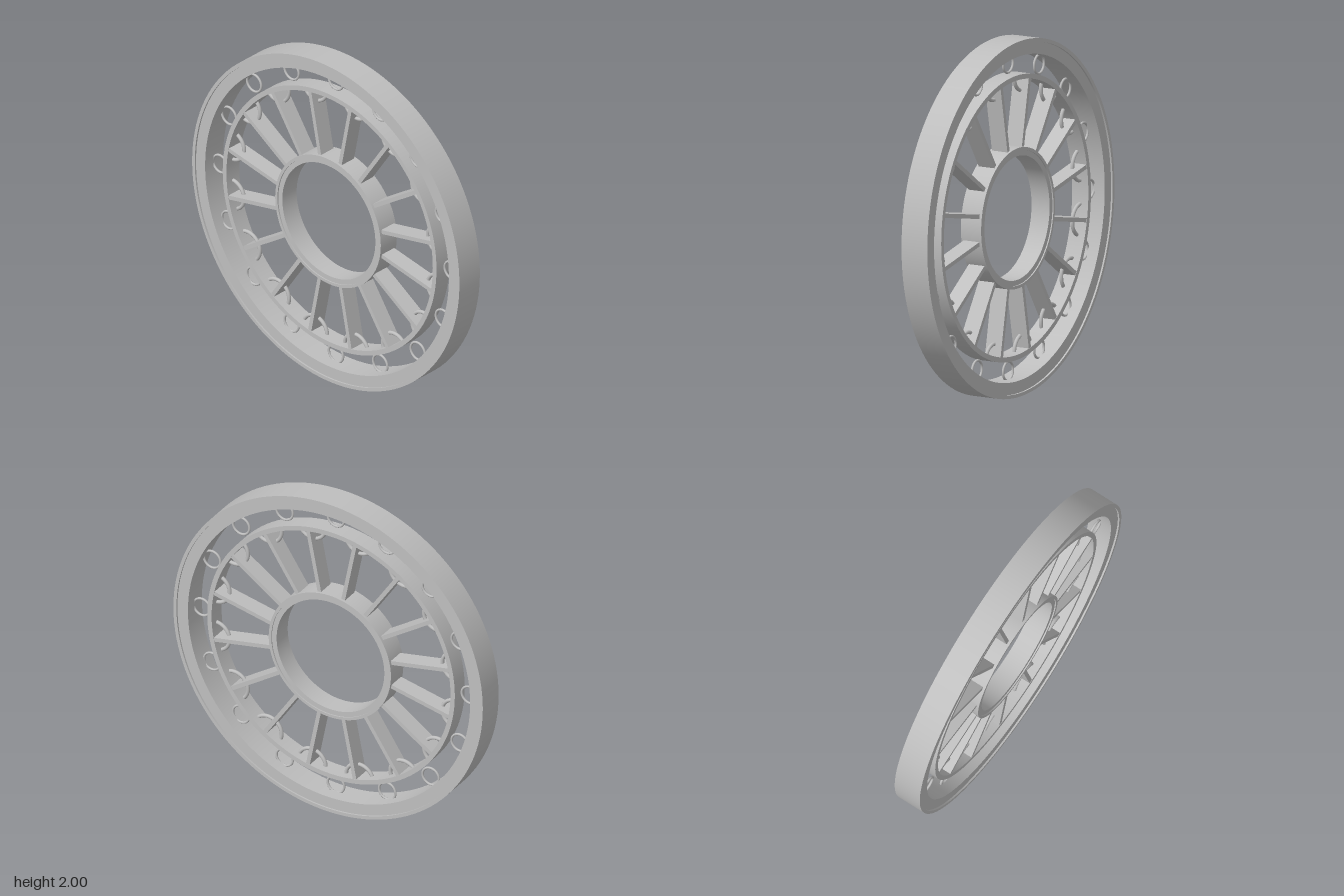
import * as THREE from 'three';

const steel = new THREE.MeshStandardMaterial({ color: 0xbebebe });
steel.name = 'steelGrey';

// Turned ring about the z axis from closed [radius, z] corners, with sharp edges
function turnedRing(name, corners) {
  const ring = new THREE.Group();
  ring.name = name;
  corners.forEach((a, i) => {
    const b = corners[(i + 1) % corners.length];
    const geo = new THREE.LatheGeometry([new THREE.Vector2(...a), new THREE.Vector2(...b)], 128);
    geo.rotateX(Math.PI / 2);
    const face = new THREE.Mesh(geo, steel);
    face.name = name + 'Face';
    ring.add(face);
  });
  return ring;
}

// Ring section whose outer edge carries a raised lip on both faces
function lippedSection(inner, lip, outer, recess, half) {
  return [[inner, -recess], [lip, -recess], [lip, -half], [outer, -half],
    [outer, half], [lip, half], [lip, recess], [inner, recess]];
}

export function createModel() {
  const model = new THREE.Group();
  model.name = 'spokedWheel';
  const wheel = new THREE.Group();
  wheel.name = 'wheel';
  wheel.position.y = 1;
  model.add(wheel);

  // Concentric rings
  wheel.add(turnedRing('outerRim', lippedSection(0.912, 0.98, 1, 0.073, 0.083)));
  wheel.add(turnedRing('innerRim', [[0.772, -0.052], [0.8, -0.052], [0.8, 0.052], [0.772, 0.052]]));
  wheel.add(turnedRing('hub', lippedSection(0.348, 0.378, 0.395, 0.058, 0.065)));

  // Repeated parts
  const spokeGeo = new THREE.BoxGeometry(0.4, 0.024, 0.1);
  const springGeo = new THREE.TorusGeometry(0.053, 0.007, 10, 40);
  const hoopGeo = new THREE.TorusGeometry(0.088, 0.011, 10, 24, Math.PI);
  const place = (parent, name, geo, radius, turn = 0) => {
    const part = new THREE.Mesh(geo, steel);
    part.name = name;
    part.position.x = radius;
    part.rotation.z = turn;
    parent.add(part);
  };

  const count = 16;
  for (let i = 0; i < count; i++) {
    const step = (Math.PI * 2) / count;
    // Spring ring between the two rims
    const springArm = new THREE.Group();
    springArm.name = 'springRingArm';
    springArm.rotation.z = i * step;
    place(springArm, 'springRing', springGeo, 0.866);
    // Spoke with a half hoop around its outer end
    const spokeArm = new THREE.Group();
    spokeArm.name = 'spokeArm';
    spokeArm.rotation.z = (i + 0.5) * step;
    place(spokeArm, 'spoke', spokeGeo, 0.583);
    place(spokeArm, 'halfHoop', hoopGeo, 0.79, Math.PI / 2);
    wheel.add(springArm, spokeArm);
  }
  return model;
}
